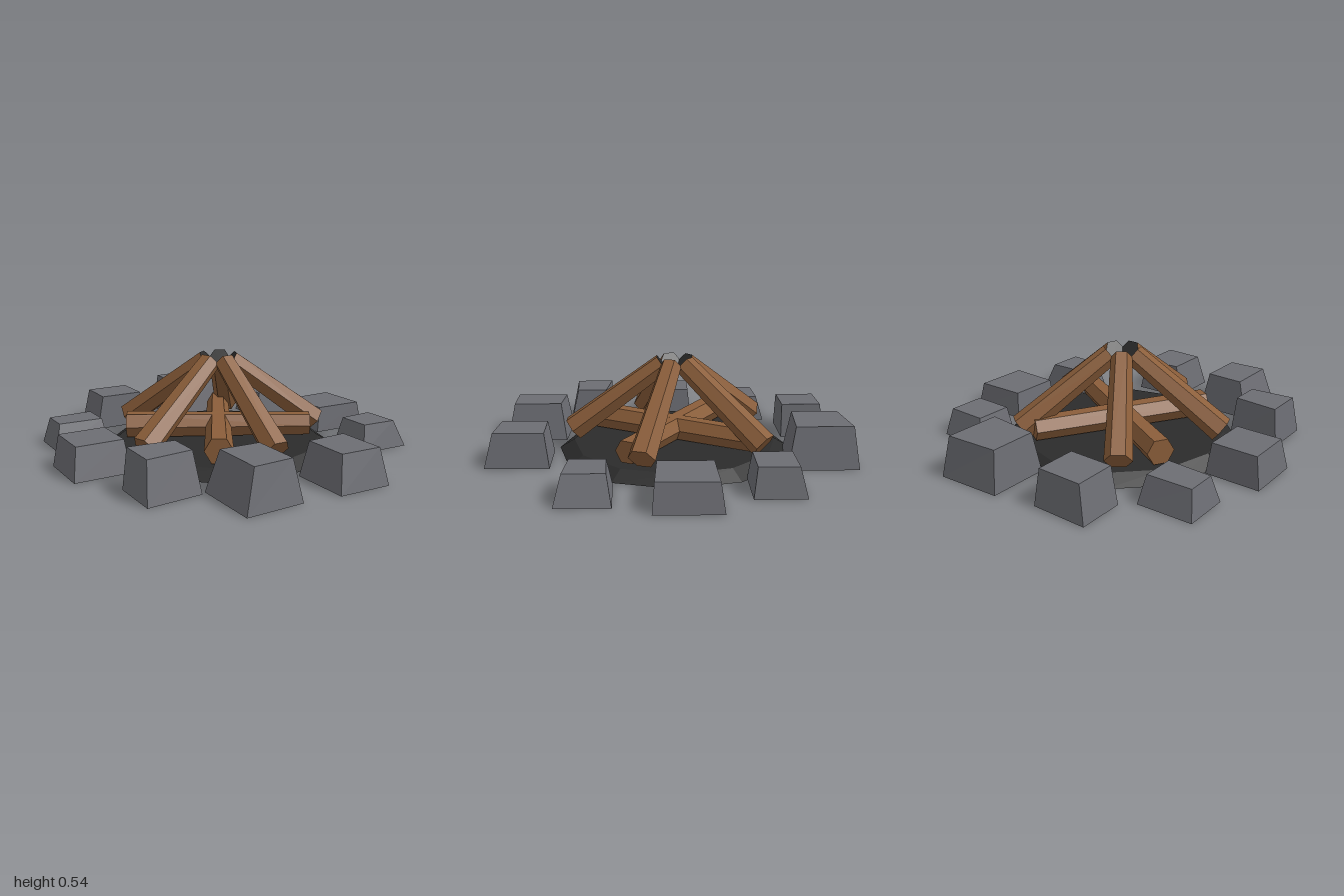
import * as THREE from 'three';

const material = (name, color) => {
  const m = new THREE.MeshStandardMaterial({ color });
  m.name = name;
  return m;
};

// Faceted look: every face gets its own normals
function faceted(geometry) {
  const g = geometry.toNonIndexed();
  g.computeVertexNormals();
  return g;
}

// Six-sided tapered log from a to b, with a flat facet facing up
function makeLog(name, a, b, radiusA, radiusB, wood, endA) {
  const g = new THREE.CylinderGeometry(radiusB, radiusA, a.distanceTo(b), 6);
  g.rotateY(Math.PI / 6);
  g.rotateX(Math.PI / 2);
  const log = new THREE.Mesh(faceted(g), [wood, wood, endA]);
  log.name = name;
  log.position.copy(a).lerp(b, 0.5);
  log.lookAt(b);
  return log;
}

// Rough block: base and top rectangles differ, flare lengthens the +x side
function makeStone([x, z, w, d, h, tx, tz, tw, td, flare = 0], mat) {
  const g = new THREE.BoxGeometry(1, 1, 1);
  const p = g.attributes.position;
  for (let i = 0; i < p.count; i++) {
    const sx = p.getX(i), sz = p.getZ(i);
    const top = p.getY(i) > 0;
    const depth = (top ? td : d) + flare * sx;
    p.setXYZ(i, (top ? tx : x) + sx * (top ? tw : w), top ? h : 0, (top ? tz : z) + sz * depth);
  }
  const stone = new THREE.Mesh(faceted(g), mat);
  stone.name = 'stone';
  return stone;
}

// base x, z, width, depth, height, then top x, z, width, depth, flare
const STONES = [
  [0.21, -0.81, 0.36, 0.36, 0.23, 0.20, -0.815, 0.30, 0.285, 0.05],
  [-0.345, -0.80, 0.31, 0.255, 0.20, -0.335, -0.79, 0.25, 0.23],
  [-0.72, -0.475, 0.305, 0.265, 0.15, -0.715, -0.475, 0.25, 0.175, 0.02],
  [-0.815, 0.015, 0.31, 0.315, 0.175, -0.81, 0.005, 0.26, 0.26],
  [-0.65, 0.51, 0.30, 0.255, 0.215, -0.65, 0.49, 0.25, 0.20, -0.045],
  [-0.315, 0.79, 0.32, 0.36, 0.215, -0.30, 0.785, 0.22, 0.285, -0.02],
  [0.195, 0.825, 0.295, 0.34, 0.19, 0.20, 0.815, 0.23, 0.265, 0.02],
  [0.73, 0.425, 0.30, 0.265, 0.15, 0.715, 0.42, 0.205, 0.20, 0.025],
  [0.79, -0.07, 0.34, 0.33, 0.15, 0.785, -0.065, 0.29, 0.295, 0.02],
  [0.64, -0.52, 0.29, 0.265, 0.155, 0.64, -0.51, 0.23, 0.205],
];

export function createModel() {
  const wood = material('wood', 0x8b5e3a);
  const charcoal = material('charcoal', 0x2b2b2b);
  const rock = material('rock', 0x6c6d73);

  const model = new THREE.Group();
  model.name = 'campfire';

  // Fire bed with its logs, slightly off the middle of the stone ring
  const fire = new THREE.Group();
  fire.name = 'fire';
  fire.position.set(-0.02, 0, -0.025);
  model.add(fire);

  const bed = new THREE.Mesh(faceted(new THREE.CylinderGeometry(0.58, 0.663, 0.05, 12)), charcoal);
  bed.name = 'ashBed';
  bed.position.y = 0.025;
  fire.add(bed);

  // Five leaning logs with charred tips
  for (let i = 0; i < 5; i++) {
    const t = (i * Math.PI * 2) / 5;
    const at = (r, y) => new THREE.Vector3(Math.sin(t) * r, y, Math.cos(t) * r);
    fire.add(makeLog('leaningLog', at(0.07, 0.495), at(0.58, 0.118), 0.06, 0.075, wood, charcoal));
  }

  // Two crossed logs lying on the ash
  for (const [x, z] of [[-0.455, -0.26], [-0.265, 0.448]]) {
    const end = new THREE.Vector3(x, 0.122, z);
    const other = new THREE.Vector3(-x, 0.122, -z);
    fire.add(makeLog('groundLog', other, end, 0.068, 0.077, wood, wood));
  }

  // Ring of stones
  const ring = new THREE.Group();
  ring.name = 'stoneRing';
  for (const row of STONES) ring.add(makeStone(row, rock));
  model.add(ring);

  return model;
}
